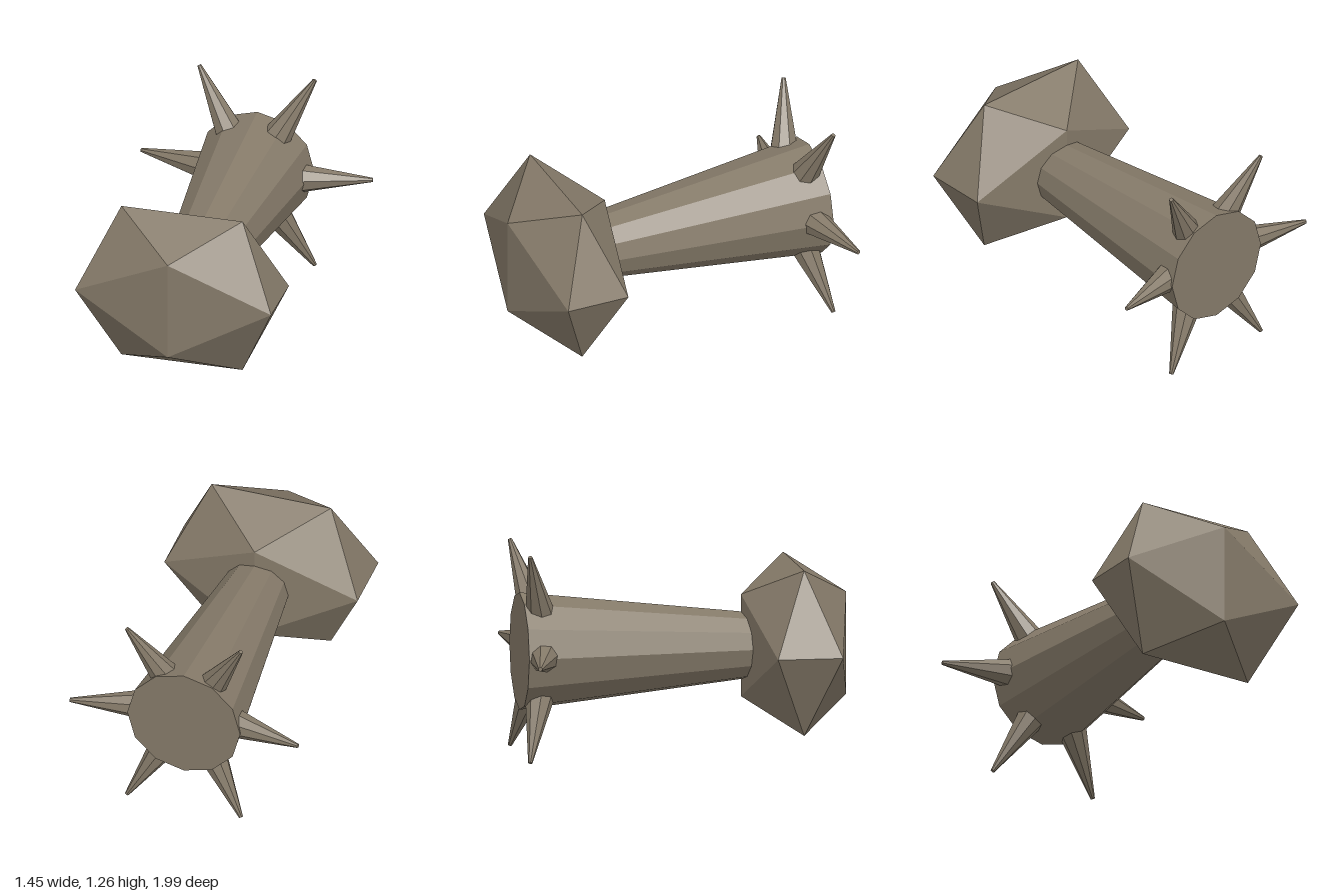
import * as THREE from 'three';

const CENTER_Y = 0.635;

export function createModel() {
  const model = new THREE.Group();
  const stone = new THREE.MeshStandardMaterial({ color: 0x857a69, flatShading: true });
  stone.name = 'brown stone';

  const add = (name, geometry) => {
    const mesh = new THREE.Mesh(geometry, stone);
    mesh.name = name;
    model.add(mesh);
    return mesh;
  };

  // Faceted head: a stretched icosahedron
  const head = add('head', new THREE.IcosahedronGeometry(1, 0).scale(0.717, 0.588, 0.376));
  head.position.set(0, CENTER_Y, 0.676);

  // Tapered twelve-sided shaft, widening towards the back and ending inside the head
  const backZ = -0.99, frontZ = 0.55;
  const shaft = add('shaft', new THREE.CylinderGeometry(0.183, 0.356, frontZ - backZ, 12).rotateX(Math.PI / 2));
  shaft.position.set(0, CENTER_Y, (frontZ + backZ) / 2);

  // Ring of six blunt spikes, leaning slightly backwards
  const up = new THREE.Vector3(0, 1, 0);
  for (let i = 0; i < 6; i++) {
    const a = (i * Math.PI) / 3;
    const base = new THREE.Vector3(Math.cos(a) * 0.3, CENTER_Y + Math.sin(a) * 0.3, -0.893);
    const tip = new THREE.Vector3(Math.cos(a) * 0.72, CENTER_Y + Math.sin(a) * 0.72, -0.986);
    const axis = tip.clone().sub(base);
    const spike = add('spike' + (i + 1), new THREE.CylinderGeometry(0.013, 0.088, axis.length(), 8));
    spike.position.copy(base).add(tip).multiplyScalar(0.5);
    spike.quaternion.setFromUnitVectors(up, axis.normalize());
  }
  return model;
}
